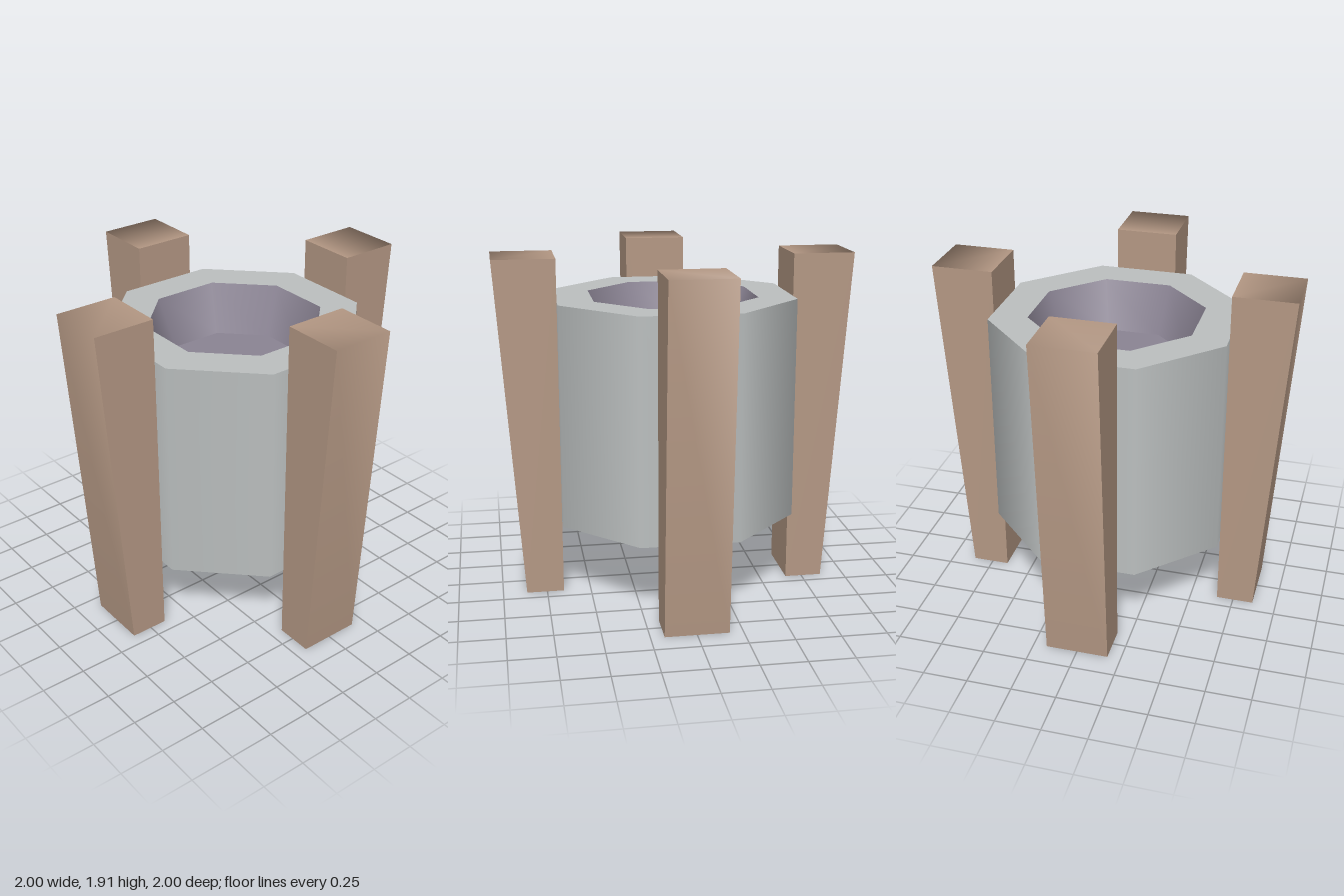
import * as THREE from 'three';

const stone = new THREE.MeshStandardMaterial({ name: 'paleStone', color: 0xbcc0c0 });
const wood = new THREE.MeshStandardMaterial({ name: 'brownWood', color: 0xb49884 });
const lining = new THREE.MeshStandardMaterial({ name: 'purpleLining', color: 0x8b8494 });

const SIDES = 8, TURN = Math.PI / SIDES;
const BASE = 0.425, RIM = 1.675, FLOOR = 1.4;
const corner = (apothem) => apothem / Math.cos(TURN); // flat-to-flat half width -> corner radius
const R_OUT = corner(0.655), R_IN = corner(0.455), R_FLOOR = corner(0.36);

function addMesh(parent, name, geometry, material) {
  const mesh = new THREE.Mesh(geometry, material);
  mesh.name = name;
  parent.add(mesh);
}

// Smooth octagonal wall between two [radius, height] points
function wall(a, b) {
  return new THREE.LatheGeometry([new THREE.Vector2(...a), new THREE.Vector2(...b)], SIDES, TURN, Math.PI * 2);
}

// Flat horizontal octagon
function disc(radius, y, up) {
  return new THREE.CircleGeometry(radius, SIDES, TURN).rotateX(up ? -Math.PI / 2 : Math.PI / 2).translate(0, y, 0);
}

// Quads sharing corners; normals blend only inside one patch
function patch(points, quads) {
  const g = new THREE.BufferGeometry();
  g.setAttribute('position', new THREE.Float32BufferAttribute(points.flat(), 3));
  g.setIndex(quads.flatMap(([a, b, c, d]) => [a, b, c, a, c, d]));
  g.computeVertexNormals();
  return g;
}

// Post on the +z side, its outer face leaning outward toward the top
function makePost() {
  const post = new THREE.Group();
  const w = 0.175, h = 1.91, zIn = 0.655, zTop = 1, zBottom = 0.865;
  const profile = [[h, zIn], [h, zTop], [0, zBottom], [0, zIn]];
  const left = profile.map(([y, z]) => [-w, y, z]);
  const right = profile.map(([y, z]) => [w, y, z]);
  const strip = (...ids) => patch(
    ids.flatMap((i) => [left[i], right[i]]),
    ids.slice(1).map((_, k) => [2 * k, 2 * k + 2, 2 * k + 3, 2 * k + 1]));
  addMesh(post, 'postTopAndOuterFace', strip(0, 1, 2), wood);
  addMesh(post, 'postFoot', strip(2, 3), wood);
  addMesh(post, 'postInnerFace', strip(3, 0), wood);
  addMesh(post, 'postLeftSide', patch(right, [[0, 1, 2, 3]]), wood);
  addMesh(post, 'postRightSide', patch(left, [[3, 2, 1, 0]]), wood);
  return post;
}

export function createModel() {
  const model = new THREE.Group();
  model.name = 'planter';

  // Octagonal pot with a tapered hollow
  const pot = new THREE.Group();
  pot.name = 'pot';
  addMesh(pot, 'potWall', wall([R_OUT, BASE], [R_OUT, RIM]), stone);
  addMesh(pot, 'potRim', new THREE.RingGeometry(R_IN, R_OUT, SIDES, 1, TURN).rotateX(-Math.PI / 2).translate(0, RIM, 0), stone);
  addMesh(pot, 'potUnderside', disc(R_OUT, BASE, false), stone);
  addMesh(pot, 'hollowWall', wall([R_IN, RIM], [R_FLOOR, FLOOR]), lining);
  addMesh(pot, 'hollowFloor', disc(R_FLOOR, FLOOR, true), lining);
  model.add(pot);

  // Four posts around the pot
  ['front', 'left', 'back', 'right'].forEach((side, i) => {
    const post = makePost();
    post.name = side + 'Post';
    post.rotation.y = i * Math.PI / 2;
    model.add(post);
  });
  return model;
}
